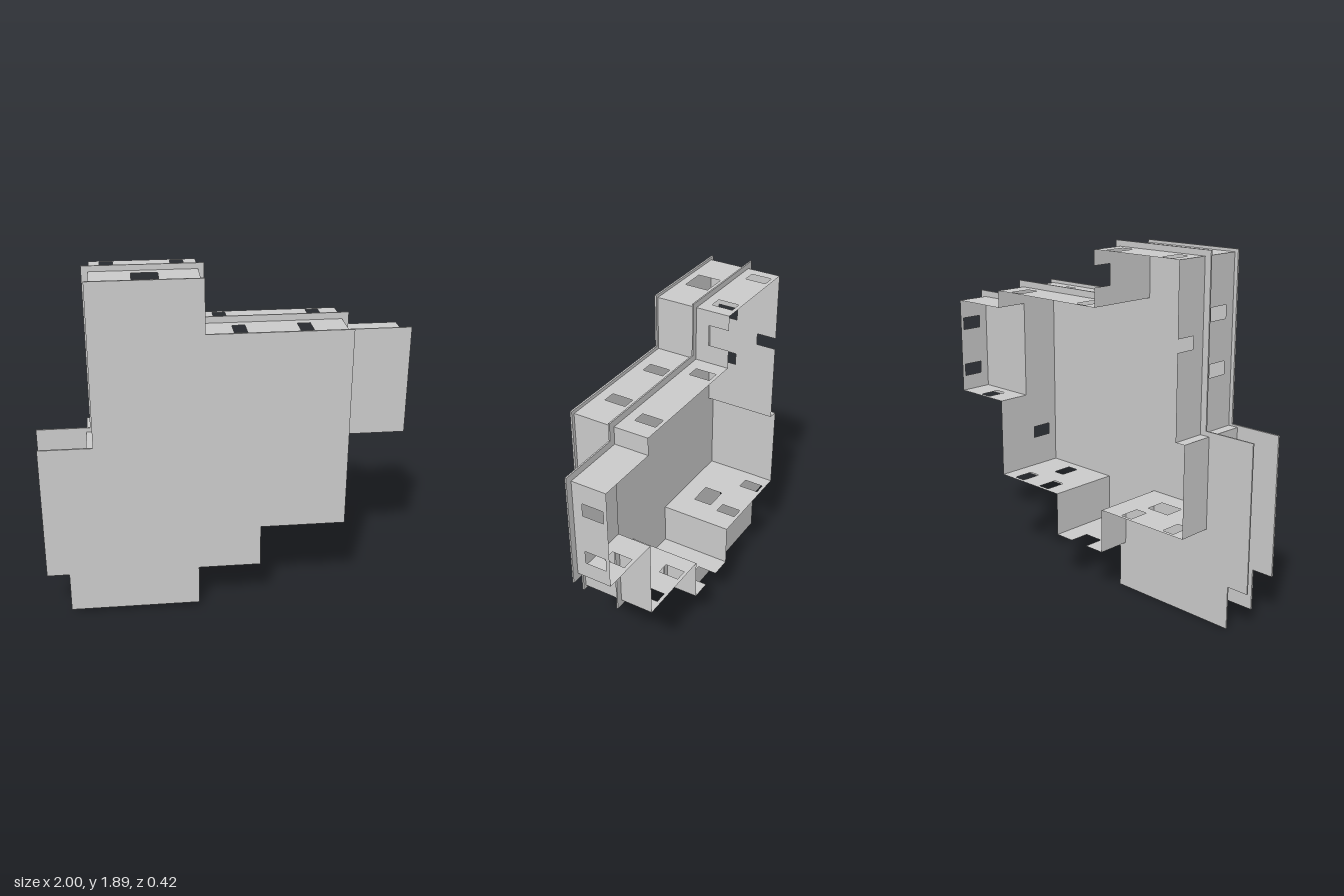
import * as THREE from 'three';

const BACK = -0.21, MID = -0.02, FRONT = 0.205;
const material = new THREE.MeshStandardMaterial({ color: 0xcccccc, side: THREE.DoubleSide, flatShading: true });
const toPoints = (list) => list.map(([x, y]) => new THREE.Vector2(x, y));

// Thin roof slab lying in the xy plane
function slab(name, outline, z, depth, opening) {
  const shape = new THREE.Shape(toPoints(outline));
  if (opening) shape.holes.push(new THREE.Path(toPoints(opening)));
  const geometry = new THREE.ExtrudeGeometry(shape, { depth, bevelEnabled: false });
  geometry.translate(0, 0, z);
  const mesh = new THREE.Mesh(geometry, material);
  mesh.name = name;
  return mesh;
}

// Wall panel between two footprint corners. Openings are [from, to, zLow, zHigh]
// along the wall; those reaching the wall's open edge become notches.
function wall(name, [xa, ya], [xb, yb], zLow, zHigh, openings = []) {
  const alongX = ya === yb;
  const start = alongX ? Math.min(xa, xb) : Math.min(ya, yb);
  const end = alongX ? Math.max(xa, xb) : Math.max(ya, yb);
  const outline = [[start, zLow]];
  const holes = [];
  for (const [a, b, low, high] of openings) {
    if (low <= zLow) outline.push([a, zLow], [a, high], [b, high], [b, zLow]);
    else holes.push([[a, low], [a, high], [b, high], [b, low]]);
  }
  outline.push([end, zLow], [end, zHigh], [start, zHigh]);
  const shape = new THREE.Shape(toPoints(outline));
  shape.holes = holes.map((h) => new THREE.Path(toPoints(h)));
  const geometry = new THREE.ShapeGeometry(shape);
  const p = geometry.attributes.position;
  for (let i = 0; i < p.count; i++) {
    const s = p.getX(i), z = p.getY(i);
    p.setXYZ(i, alongX ? s : xa, alongX ? ya : s, z);
  }
  geometry.computeVertexNormals();
  const mesh = new THREE.Mesh(geometry, material);
  mesh.name = name;
  return mesh;
}

// Standard windows of the two storeys, centred at c along the wall
const lowWindow = (c) => [c - 0.034, c + 0.034, -0.19, -0.075];
const highWindow = (c) => [c - 0.034, c + 0.034, 0.032, 0.147];
const door = (a, b, floor = BACK) => [a, b, floor, floor + 0.113];

export function createModel() {
  const group = new THREE.Group();

  // Wall line of the two-storey main block
  const footprint = [
    [0.62, 0.5], [0.62, 1.57], [-0.13, 1.57], [-0.13, 1.86], [-0.68, 1.86], [-0.68, 0.985],
    [-0.735, 0.985], [-0.735, 0.5], [-0.18, 0.5], [-0.18, 0.26], [0.165, 0.26], [0.165, 0.5],
  ];
  // Openings per wall, in footprint order
  const openings = [
    [[0.94, 1.475, BACK, MID], [0.67, 0.735, 0.035, 0.15]],
    [lowWindow(-0.01), lowWindow(0.49), highWindow(0.07), highWindow(0.41)],
    [door(1.67, 1.78)],
    [lowWindow(-0.59), lowWindow(-0.23), [-0.47, -0.335, 0.03, 0.16]],
    [door(1.425, 1.49), highWindow(1.295), highWindow(1.575)],
    [], [],
    [lowWindow(-0.625), lowWindow(-0.34), door(-0.47, -0.335, MID)],
    [],
    [door(-0.06, 0.05)],
    [],
    [lowWindow(0.295), lowWindow(0.5), highWindow(0.41)],
  ];
  const mainWalls = new THREE.Group();
  mainWalls.name = 'mainWalls';
  footprint.forEach((corner, i) => {
    const next = footprint[(i + 1) % footprint.length];
    mainWalls.add(wall('mainWall' + (i + 1), corner, next, BACK, FRONT, openings[i]));
  });
  group.add(mainWalls);

  // Single-storey side extension
  const sideWalls = new THREE.Group();
  sideWalls.name = 'extensionWalls';
  sideWalls.add(
    wall('extensionLowerWall', [0.62, 0.94], [0.965, 0.94], BACK, MID, [lowWindow(0.785)]),
    wall('extensionEndWall', [0.965, 0.94], [0.965, 1.475], BACK, MID, [lowWindow(1.06), lowWindow(1.335)]),
    wall('extensionUpperWall', [0.62, 1.475], [0.965, 1.475], BACK, MID),
  );
  group.add(sideWalls);

  // Middle roof and terrace slab, open inside the main block
  group.add(slab('middleSlab', [
    [-0.88, 0], [-0.14, 0], [-0.14, 0.23], [0.195, 0.23], [0.195, 0.465], [0.655, 0.465],
    [0.655, 0.905], [1, 0.905], [1, 1.51], [0.655, 1.51], [0.655, 1.605], [-0.1, 1.605],
    [-0.1, 1.89], [-0.715, 1.89], [-0.715, 1.01], [-1, 1.01], [-1, 0.23], [-0.88, 0.23],
  ], MID - 0.004, 0.008, footprint));

  // Closed main roof
  group.add(slab('mainRoof', [
    [-0.865, 0.02], [-0.16, 0.02], [-0.16, 0.245], [0.178, 0.245], [0.178, 0.48], [0.638, 0.48],
    [0.638, 1.588], [-0.115, 1.588], [-0.115, 1.875], [-0.7, 1.875], [-0.7, 0.995],
    [-0.985, 0.995], [-0.985, 0.245], [-0.865, 0.245],
  ], FRONT - 0.003, 0.01));

  return group;
}
